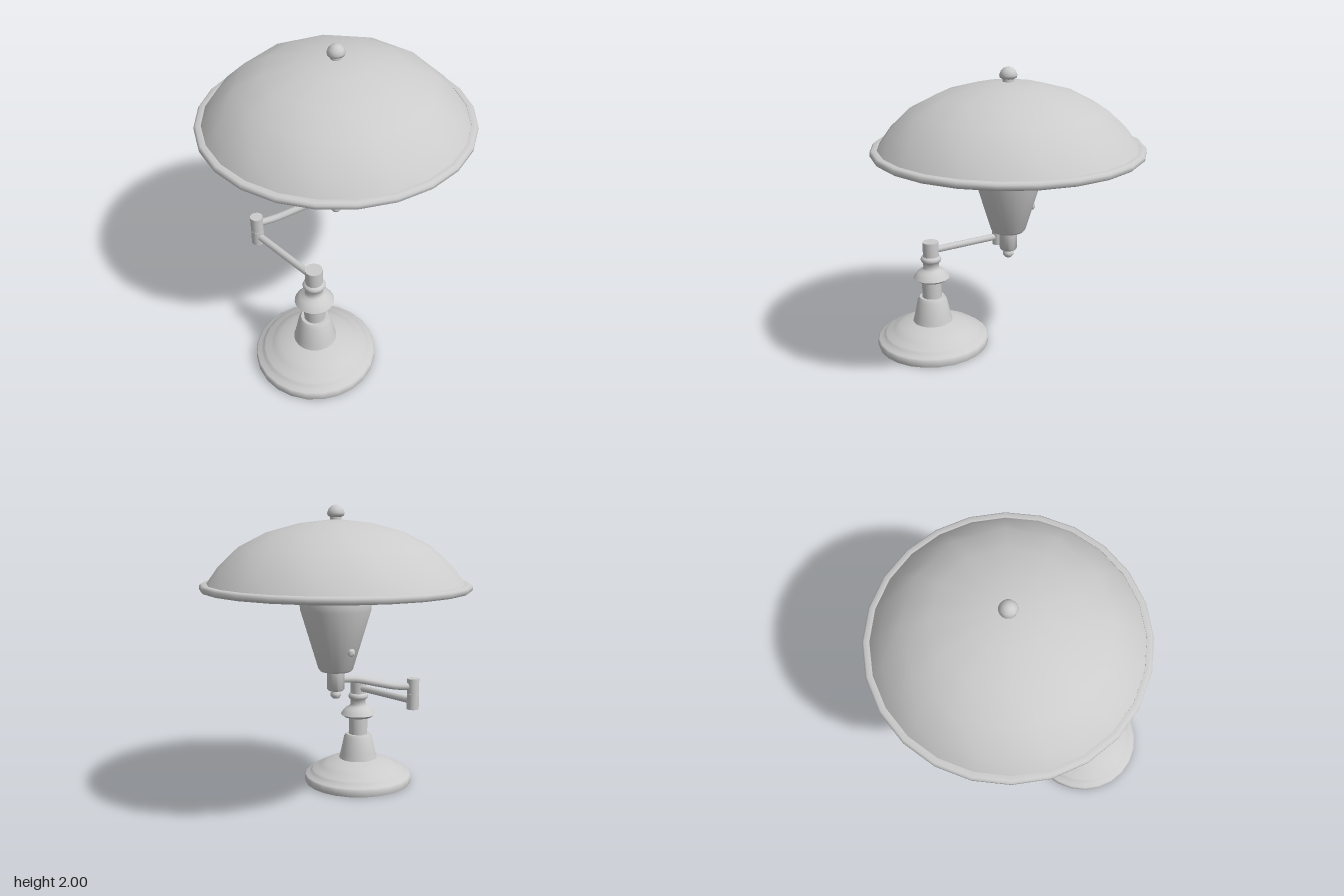
import * as THREE from 'three';
import { toCreasedNormals } from 'three/addons/utils/BufferGeometryUtils.js';

const grey = new THREE.MeshStandardMaterial({ color: 0xcccccc });
const greyDouble = new THREE.MeshStandardMaterial({ color: 0xcccccc, side: THREE.DoubleSide });
const V = (x, y, z) => new THREE.Vector3(x, y, z);

export function createModel() {
  const lamp = new THREE.Group();

  function add(name, geometry, material = grey, x = 0, y = 0, z = 0) {
    const mesh = new THREE.Mesh(geometry, material);
    mesh.name = name;
    mesh.position.set(x, y, z);
    lamp.add(mesh);
    return mesh;
  }

  function lathe(profile, segments = 24) {
    return new THREE.LatheGeometry(profile.map(([r, y]) => new THREE.Vector2(r, y)), segments);
  }

  // Turned part from [radius, height] pairs, listed bottom to top on the outside
  function turned(name, profile, material, x, z, segments) {
    return add(name, toCreasedNormals(lathe(profile, segments), 1.0), material, x, 0, z);
  }

  function rod(name, points, radius) {
    const path = new THREE.CatmullRomCurve3(points);
    return add(name, new THREE.TubeGeometry(path, 20, radius, 10));
  }

  const baseX = -0.459, baseZ = 0.37;
  const elbowX = -0.515, elbowZ = -0.17;

  // Weighted foot, bell and turned column
  turned('base', [
    [0, 0.005], [0.386, 0.005], [0.39, 0.02], [0.39, 0.055], [0.382, 0.063], [0.358, 0.07],
    [0.342, 0.088], [0.33, 0.1], [0.295, 0.11], [0.275, 0.128], [0.23, 0.151], [0.175, 0.17],
    [0.138, 0.18], [0.127, 0.22], [0.103, 0.335], [0.088, 0.36], [0, 0.36],
  ], grey, baseX, baseZ);
  turned('column', [
    [0.068, 0.34], [0.068, 0.485], [0.1, 0.488], [0.125, 0.507], [0.11, 0.53], [0.09, 0.552],
    [0.065, 0.566], [0.058, 0.575], [0.055, 0.585], [0.055, 0.615], [0.066, 0.625], [0.072, 0.64],
    [0.066, 0.655], [0.055, 0.662], [0.055, 0.765], [0, 0.765],
  ], grey, baseX, baseZ);

  // Swing arm with a two-piece elbow
  rod('lowerArm', [V(baseX, 0.701, baseZ), V(elbowX, 0.701, elbowZ)], 0.024);
  for (const [name, y] of [['lowerElbow', 0.697], ['upperElbow', 0.803]]) {
    add(name, new THREE.CylinderGeometry(0.041, 0.041, 0.104, 20), grey, elbowX, y, elbowZ);
  }
  rod('upperArm', [
    V(elbowX, 0.8, elbowZ), V(-0.4, 0.81, -0.132), V(-0.26, 0.843, -0.086),
    V(-0.13, 0.875, -0.043), V(0, 0.882, 0),
  ], 0.024);

  // Socket under the cup with a small ball below
  turned('socket', [
    [0, 0.754], [0.022, 0.759], [0.034, 0.774], [0.034, 0.792], [0.022, 0.803], [0.022, 0.81],
    [0.047, 0.81], [0.056, 0.82], [0.056, 0.945], [0, 0.945],
  ], grey, 0, 0);

  // Hollow tapered cup
  turned('cup', [
    [0, 0.94], [0.1, 0.94], [0.113, 0.955], [0.229, 1.34], [0.232, 1.37], [0.232, 1.433],
    [0.225, 1.443], [0.22, 1.433], [0.218, 1.34], [0.1, 0.965], [0, 0.96],
  ], greyDouble, 0, 0);

  // Switch knob on the back of the cup
  const knob = turned('switchKnob', [
    [0.013, 0], [0.013, 0.018], [0.024, 0.023], [0.026, 0.036], [0.018, 0.046], [0, 0.048],
  ], grey, 0, 0, 12);
  knob.rotation.x = -Math.PI / 2;
  knob.position.set(0, 1.083, -0.14);

  // Flat, slightly skewed strap arching from the cup up under the shade
  const strapSide = [[1.0, 0.08], [1.3, 0.17], [1.46, 0.184], [1.62, 0.176], [1.76, 0.135], [1.845, 0.07]];
  const strapPath = new THREE.CatmullRomCurve3([
    ...strapSide.map(([y, z]) => V(0, y, -z)),
    V(0, 1.87, 0),
    ...strapSide.map(([y, z]) => V(0, y, z)).reverse(),
  ]);
  const strap = new THREE.TubeGeometry(strapPath, 48, 0.007, 8);
  strap.scale(2.7, 1, 1).rotateY(-0.1).translate(-0.008, 0, 0);
  add('shadeSupport', strap);

  // Domed shade: the upper rings have half as many sides as the edge,
  // so every second column of vertices is drawn in to the chord
  const dome = lathe([
    [0.818, 1.51], [0.742, 1.617], [0.612, 1.74], [0.437, 1.83], [0.227, 1.887], [0, 1.912],
  ]);
  const ringCount = 6;
  const p = dome.attributes.position;
  for (let i = 0; i < p.count; i++) {
    const column = Math.floor(i / ringCount), ring = i % ringCount;
    if (column % 2 === 1 && ring >= 2) {
      const k = Math.cos(Math.PI / 12);
      p.setXYZ(i, p.getX(i) * k, p.getY(i), p.getZ(i) * k);
    }
  }
  add('shade', toCreasedNormals(dome, 1.0), greyDouble);

  // Rolled rim of the shade
  turned('shadeRim', [
    [0.816, 1.495], [0.822, 1.473], [0.85, 1.469], [0.862, 1.48], [0.862, 1.502], [0.85, 1.513],
    [0.818, 1.513], [0.816, 1.495],
  ], grey, 0, 0);

  // Finial on top
  turned('finial', [
    [0.036, 1.895], [0.036, 1.924], [0.052, 1.932], [0.056, 1.948], [0.047, 1.972],
    [0.027, 1.992], [0, 2],
  ], grey, 0, 0, 16);

  return lamp;
}
